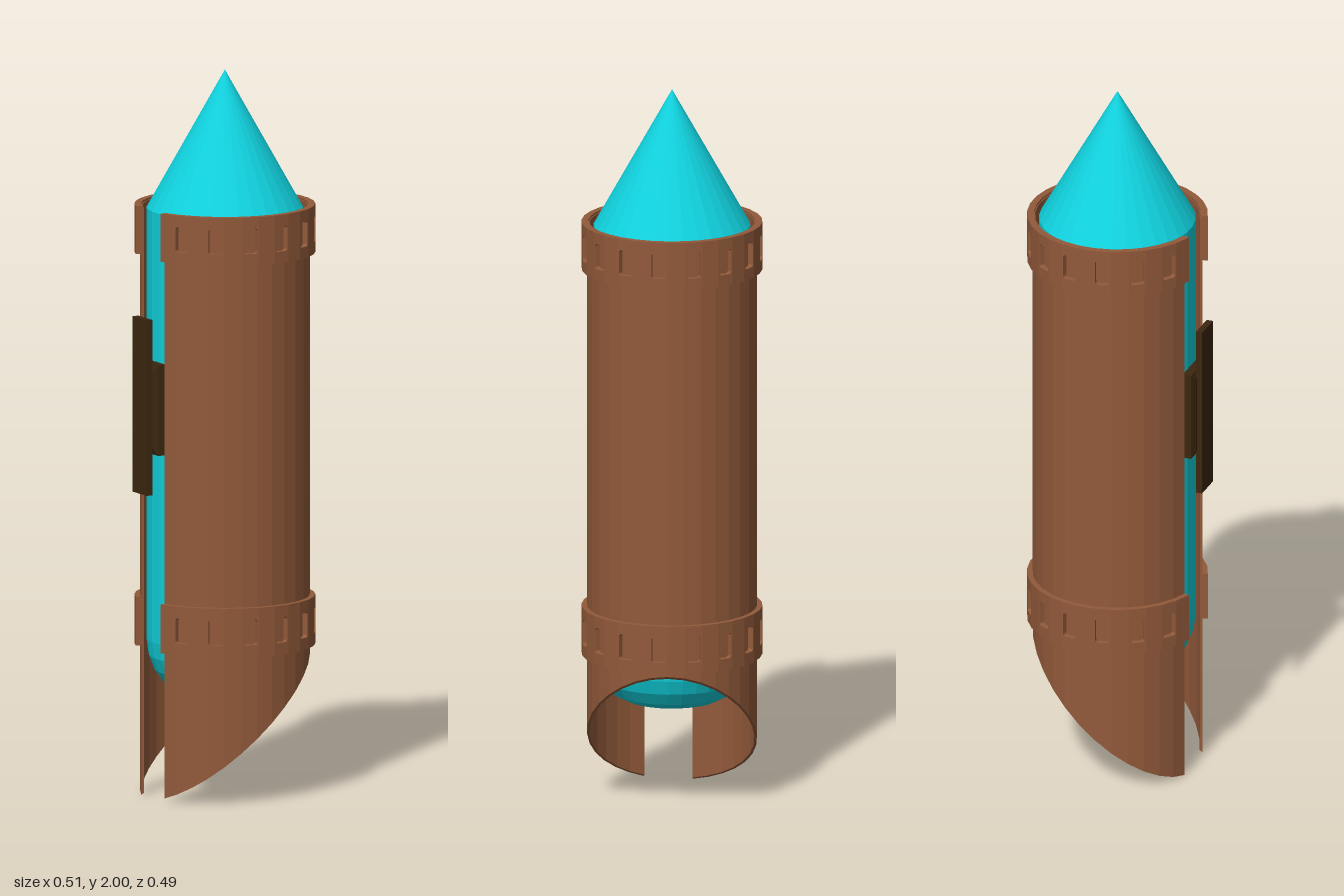
import * as THREE from 'three';

const STEP = Math.PI / 16;          // one facet of the 32-sided body
const SLOT_END = -6 * STEP;         // the slot spans three facets on the -x side
const FACETS = 29;
const CENTRE_X = 0.008;

export function createModel() {
  const group = new THREE.Group();
  const mat = (name, color, side = THREE.FrontSide) =>
    new THREE.MeshStandardMaterial({ name, color, flatShading: true, side });
  const brown = mat('brown leather', 0x925a3a, THREE.DoubleSide);
  const teal = mat('turquoise', 0x10d2de);
  const dark = mat('dark brown', 0x3c270f);

  const add = (name, geometry, material, parent = group) => {
    const mesh = new THREE.Mesh(geometry, material);
    mesh.name = name;
    parent.add(mesh);
    return mesh;
  };
  const v2 = (a) => a.map(([x, y]) => new THREE.Vector2(x, y));

  // Pointed core with a rounded foot
  add('core', new THREE.LatheGeometry(v2([
    [0, 0.29], [0.13, 0.29], [0.168, 0.31], [0.193, 0.345], [0.208, 0.385],
    [0.214, 0.43], [0.214, 1.62], [0, 2],
  ]), 32), teal).position.x = CENTRE_X;

  // Slotted sleeve, its foot cut along a sloping curve
  const RO = 0.232, RI = 0.225, TOP = 1.625;
  const cutY = (x) => Math.max(0, 0.184 + 0.875 * x + 0.33 * x * x);
  const sleeve = new THREE.LatheGeometry(v2([
    [RO, 0], [RO, TOP], [RI, TOP], [RI, 0], [RO, 0],
  ]), FACETS, SLOT_END, FACETS * STEP);
  const p = sleeve.attributes.position;
  for (let i = 0; i < p.count; i++) {
    if (p.getY(i) < 0.01) p.setY(i, cutY(p.getX(i)));
  }
  add('sleeve', sleeve, brown).position.x = CENTRE_X;

  // Narrow faces closing the two sides of the slot
  for (const angle of [SLOT_END, SLOT_END - 3 * STEP]) {
    const s = Math.sin(angle), c = Math.cos(angle);
    const edge = new THREE.PlaneGeometry(1, 1);
    const corners = [[RI, TOP], [RO, TOP], [RI, cutY(RI * s)], [RO, cutY(RO * s)]];
    corners.forEach(([r, y], i) => edge.attributes.position.setXYZ(i, r * s, y, r * c));
    edge.computeVertexNormals();
    add('slotEdge', edge, brown).position.x = CENTRE_X;
  }

  // Bands made of facet panels, every second one with a rounded window
  const BO = 0.247, BI = 0.228;
  const half = BO * Math.sin(STEP / 2);
  const depth = (BO - BI) * Math.cos(STEP / 2);
  const panelGeometry = (height, windowed) => {
    const h = height / 2;
    const shape = new THREE.Shape(v2([[-half, -h], [half, -h], [half, h], [-half, h]]));
    if (windowed) {
      const w = 0.02, k = 0.035, r = 0.007;
      const hole = new THREE.Path();
      hole.moveTo(-w + r, -k);
      hole.absarc(-w + r, -k + r, r, -Math.PI / 2, -Math.PI, true);
      hole.absarc(-w + r, k - r, r, Math.PI, Math.PI / 2, true);
      hole.absarc(w - r, k - r, r, Math.PI / 2, 0, true);
      hole.absarc(w - r, -k + r, r, 0, -Math.PI / 2, true);
      hole.closePath();
      shape.holes.push(hole);
    }
    const g = new THREE.ExtrudeGeometry(shape, { depth, bevelEnabled: false, curveSegments: 3 });
    const q = g.attributes.position;
    for (let i = 0; i < q.count; i++) {
      if (q.getZ(i) < depth / 2) q.setX(i, q.getX(i) * BI / BO);
    }
    g.translate(0, 0, BI * Math.cos(STEP / 2));
    return g;
  };
  for (const [name, low, high] of [['upperBand', 1.497, 1.63], ['lowerBand', 0.415, 0.55]]) {
    const band = new THREE.Group();
    band.name = name;
    band.position.set(CENTRE_X, (low + high) / 2, 0);
    const plain = panelGeometry(high - low, false);
    const windowed = panelGeometry(high - low, true);
    for (let i = 0; i < FACETS; i++) {
      const open = i % 2 === 1;
      const panel = add(open ? 'windowPanel' : 'plainPanel', open ? windowed : plain, brown, band);
      panel.rotation.y = SLOT_END + (i + 0.5) * STEP;
    }
    group.add(band);
  }

  // Catch sitting in the slot: chamfered block and tall outer plate
  const latch = new THREE.Group();
  latch.name = 'catch';
  latch.position.set(CENTRE_X, 0, 0);
  latch.rotation.y = SLOT_END - 1.5 * STEP;
  add('catchBlock', new THREE.BoxGeometry(0.135, 0.25, 0.025), dark, latch)
    .position.set(0, 1.085, 0.2285);
  const neck = new THREE.BoxGeometry(0.135, 0.25, 0.008);
  const n = neck.attributes.position;
  for (let i = 0; i < n.count; i++) {
    if (n.getZ(i) > 0) n.setXY(i, n.getX(i) * 0.72, n.getY(i) * 0.86);
  }
  add('catchNeck', neck, dark, latch).position.set(0, 1.085, 0.2445);
  add('catchPlate', new THREE.BoxGeometry(0.082, 0.485, 0.018), dark, latch)
    .position.set(0, 1.09, 0.254);
  group.add(latch);

  return group;
}
